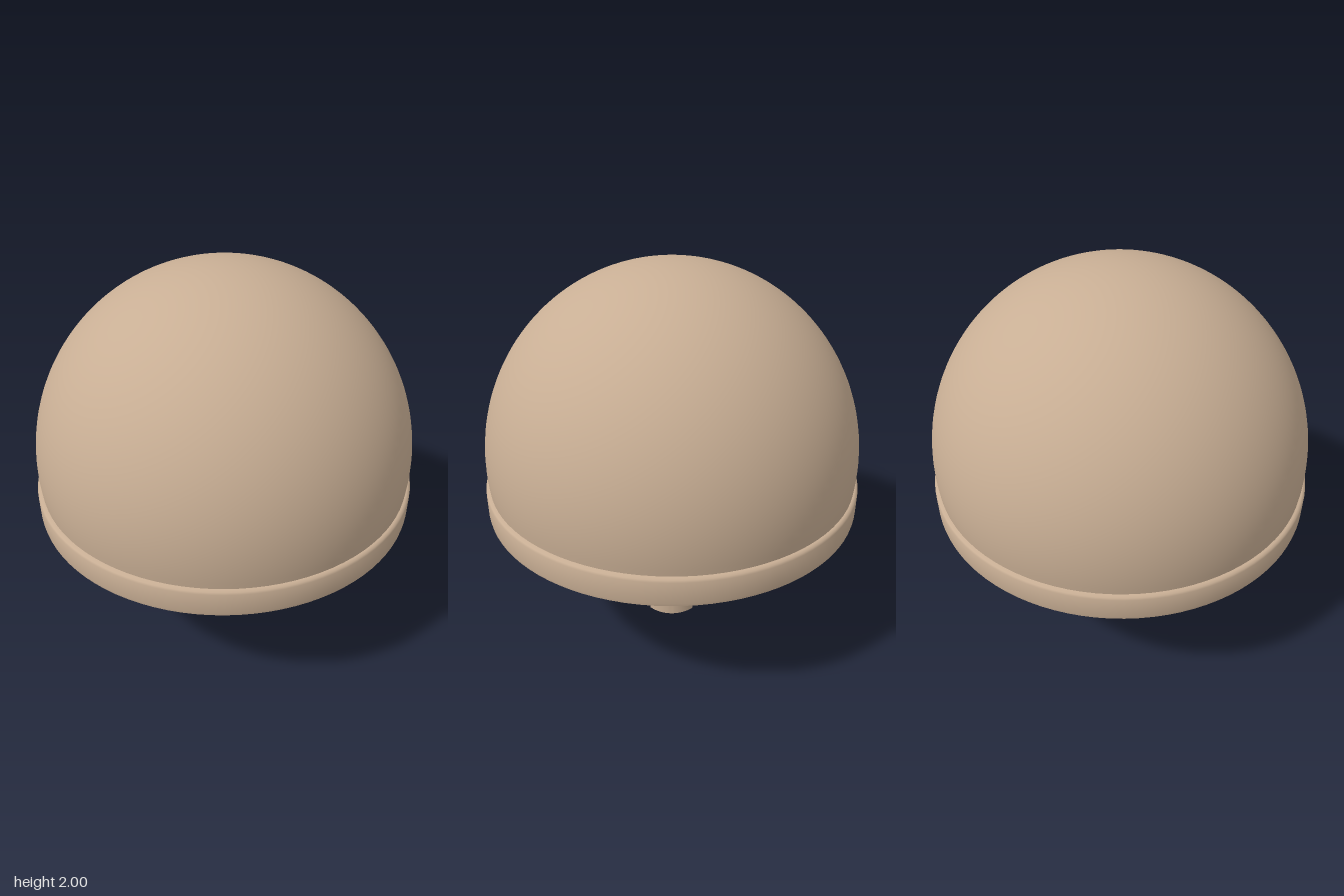
import * as THREE from 'three';
import { toCreasedNormals } from 'three/addons/utils/BufferGeometryUtils.js';

export function createModel() {
  const tan = new THREE.MeshStandardMaterial({ color: 0xc8ae94 });
  tan.name = 'tan';
  const model = new THREE.Group();
  model.name = 'domeLamp';

  const add = (name, geometry, parent = model) => {
    const mesh = new THREE.Mesh(geometry, tan);
    mesh.name = name;
    parent.add(mesh);
    return mesh;
  };
  // Turned part: profile runs from the bottom axis, outwards and up
  const turned = (profile, segments = 64) => toCreasedNormals(
    new THREE.LatheGeometry(profile.map(([r, y]) => new THREE.Vector2(r, y)), segments), 0.6);
  // Curved wall piece between two radii, centred on an angle (0 = +x)
  const arcWall = (r0, r1, y0, y1, angle, half) => {
    const shape = new THREE.Shape();
    shape.absarc(0, 0, r1, angle - half, angle + half, false);
    shape.absarc(0, 0, r0, angle + half, angle - half, true);
    shape.closePath();
    const geometry = new THREE.ExtrudeGeometry(shape, { depth: y1 - y0, bevelEnabled: false, curveSegments: 16 });
    return toCreasedNormals(geometry.rotateX(-Math.PI / 2).translate(0, y0, 0), 0.6);
  };

  // Large smooth dome
  const domeProfile = [];
  for (let i = 0; i <= 40; i++) {
    const a = -0.12 + (Math.PI / 2 + 0.12) * i / 40;
    domeProfile.push([Math.max(0, 0.982 * Math.cos(a)), 1 + Math.sin(a)]);
  }
  add('dome', turned(domeProfile, 96)).scale.z = 0.993;

  // Base plate with a raised rim around a shallow recess
  add('rim', turned([
    [0, 0.78], [0.925, 0.78], [0.94, 0.755], [0.95, 0.74], [0.985, 0.737], [0.997, 0.745],
    [1, 0.76], [1, 0.872], [0.995, 0.882], [0.985, 0.888], [0.95, 0.888],
  ], 96)).scale.z = 0.99;

  // Radial ribs under the plate
  for (let i = 0; i < 8; i++) {
    const rib = new THREE.Group();
    rib.name = 'rib';
    rib.rotation.y = -THREE.MathUtils.degToRad(25 + 45 * i);
    add('ribBar', new THREE.CylinderGeometry(0.024, 0.024, 0.42, 10).rotateZ(Math.PI / 2).translate(0.66, 0.772, 0), rib);
    model.add(rib);
  }

  // Flange and collar, with a groove in the collar's underside
  add('flange', turned([[0, 0.717], [0.425, 0.717], [0.44, 0.727], [0.44, 0.79]]));
  add('collar', turned([
    [0, 0.565], [0.315, 0.565], [0.325, 0.525], [0.352, 0.522], [0.363, 0.533], [0.363, 0.72],
  ]));
  add('collarLabelPlate', arcWall(0.355, 0.37, 0.58, 0.645, Math.PI / 4, 0.18));

  // Stepped neck
  add('neck', turned([
    [0, 0.36], [0.215, 0.36], [0.235, 0.37], [0.24, 0.42], [0.255, 0.425], [0.255, 0.475],
    [0.285, 0.478], [0.29, 0.487], [0.29, 0.57],
  ]));
  for (let i = 0; i < 4; i++) {
    const a = i * Math.PI / 2;
    add('neckTab', arcWall(0.24, 0.277, 0.425, 0.46, a + Math.PI / 4, 0.42));
    add('neckKey', arcWall(0.24, 0.268, 0.43, 0.478, a, 0.13));
  }

  // Screw socket, a little narrower from front to back
  const socket = new THREE.Group();
  socket.name = 'screwSocket';
  socket.scale.z = 0.82;
  model.add(socket);
  add('core', turned([[0, 0.13], [0.175, 0.13], [0.195, 0.15], [0.195, 0.33], [0.185, 0.342], [0, 0.342]], 48), socket);
  add('coreHub', new THREE.CylinderGeometry(0.06, 0.06, 0.06, 24).translate(0, 0.35, 0), socket);

  // Side walls on left and right, leaving slots at front and back
  for (const angle of [0, Math.PI]) {
    add('sideWall', arcWall(0.165, 0.222, 0.05, 0.42, angle, 0.72), socket);
    add('sideFoot', arcWall(0.165, 0.24, 0.05, 0.135, angle, 0.66), socket);
    for (const s of [-1, 1])
      add('slotEdge', arcWall(0.2, 0.237, 0.06, 0.4, angle + s * 0.72, 0.05), socket);
  }

  // Helical thread
  const path = [];
  for (let i = 0; i <= 96; i++) {
    const a = i / 96 * Math.PI * 6.6;
    path.push(new THREE.Vector3(0.224 * Math.cos(a), 0.125 + 0.215 * i / 96, -0.224 * Math.sin(a)));
  }
  add('thread', new THREE.TubeGeometry(new THREE.CatmullRomCurve3(path), 192, 0.027, 10), socket);

  // Bottom plate, stem and rounded contact
  add('bottomPlate', turned([[0, 0.045], [0.2, 0.045], [0.21, 0.052], [0.21, 0.06], [0, 0.06]], 48), socket);
  add('contactStem', new THREE.CylinderGeometry(0.065, 0.065, 0.09, 24).translate(0, 0.095, 0));
  add('contact', turned([
    [0, 0], [0.04, 0.002], [0.06, 0.01], [0.072, 0.024], [0.074, 0.04], [0.065, 0.05],
  ], 32));

  return model;
}
